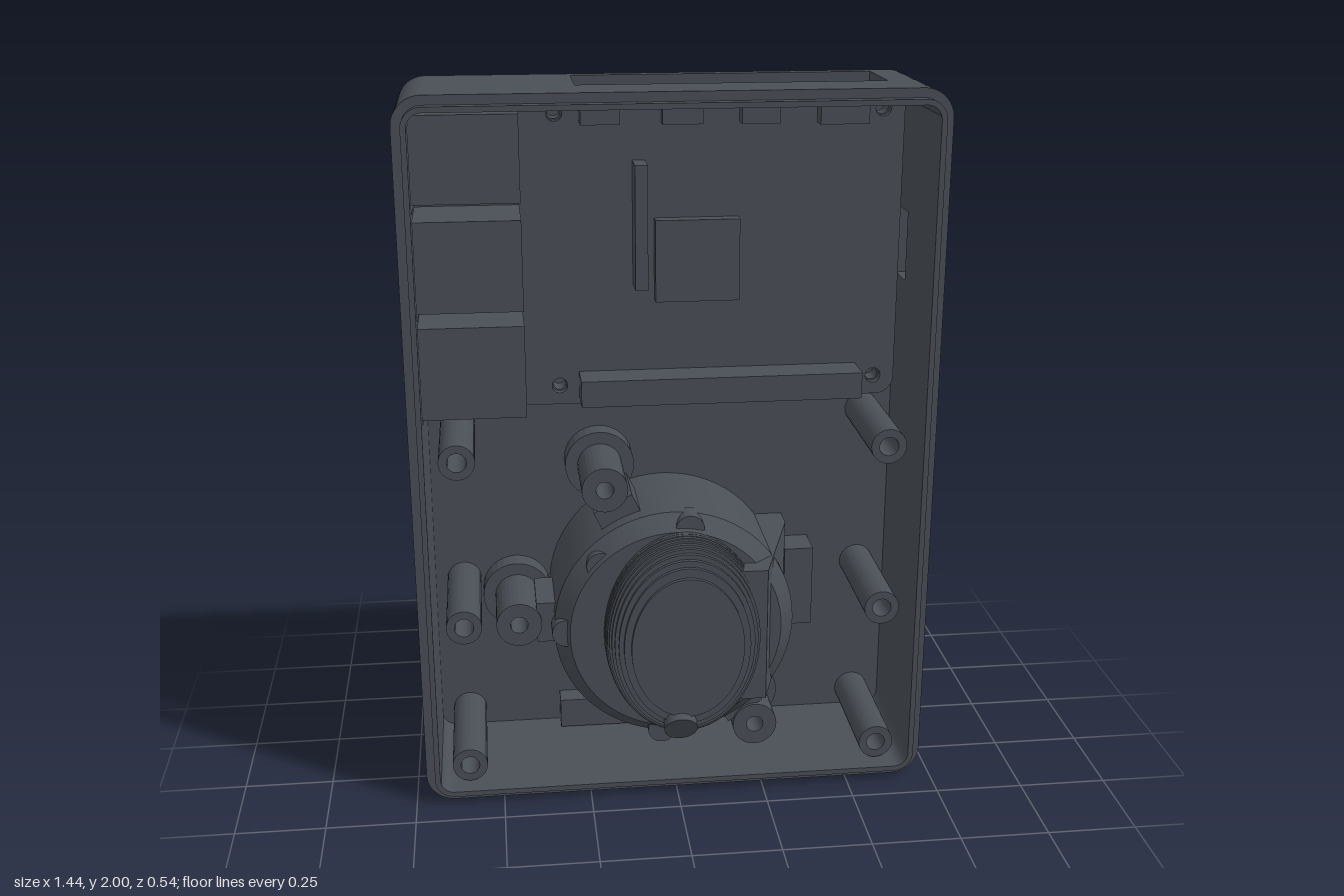
import * as THREE from 'three';

const BACK = -0.27, FLOOR = -0.235, RIM = 0.135, WALL = 0.04, R = 0.08, PCB = -0.155;
const mat = new THREE.MeshStandardMaterial({ color: 0x4a4f56 });

export function createModel() {
  const root = new THREE.Group();
  const add = (name, geo, parent = root) => {
    const m = new THREE.Mesh(geo, mat);
    m.name = name;
    parent.add(m);
    return m;
  };
  // Box given by its limits on each axis
  const box = (name, x0, x1, y0, y1, z0, z1) =>
    add(name, new THREE.BoxGeometry(x1 - x0, y1 - y0, z1 - z0)
      .translate((x0 + x1) / 2, (y0 + y1) / 2, (z0 + z1) / 2));
  const rect = (P, x0, x1, y0, y1) => {
    const s = new P();
    s.moveTo(x0, y0); s.lineTo(x1, y0); s.lineTo(x1, y1); s.lineTo(x0, y1); s.closePath();
    return s;
  };
  const rounded = (P, x0, x1, y0, y1, r) => {
    const s = new P();
    s.moveTo(x0 + r, y0);
    s.absarc(x1 - r, y0 + r, r, -Math.PI / 2, 0);
    s.absarc(x1 - r, y1 - r, r, 0, Math.PI / 2);
    s.absarc(x0 + r, y1 - r, r, Math.PI / 2, Math.PI);
    s.absarc(x0 + r, y0 + r, r, Math.PI, Math.PI * 1.5);
    s.closePath();
    return s;
  };
  const circle = (P, x, y, r) => {
    const s = new P();
    s.absarc(x, y, r, 0, Math.PI * 2);
    return s;
  };
  const slab = (name, shape, z0, z1) =>
    add(name, new THREE.ExtrudeGeometry(shape, { depth: z1 - z0, bevelEnabled: false, curveSegments: 16 })
      .translate(0, 0, z0));
  const tube = (name, x, y, r, hole, z0, z1) => {
    const s = circle(THREE.Shape, x, y, r);
    if (hole) s.holes.push(circle(THREE.Path, x, y, hole));
    return slab(name, s, z0, z1);
  };

  // Case: back plate, four walls with port cut-outs, rounded corners and front lip
  slab('backPlate', rounded(THREE.Shape, -0.72, 0.72, 0, 2, R), BACK, FLOOR);
  const X = new THREE.Vector3(1, 0, 0), Y = new THREE.Vector3(0, 1, 0), Z = new THREE.Vector3(0, 0, 1);
  const wall = (name, u, depthDir, u0, u1, pos, cuts) => {
    const s = rect(THREE.Shape, u0, u1, FLOOR, RIM);
    for (const c of cuts) s.holes.push(rect(THREE.Path, ...c));
    const g = new THREE.ExtrudeGeometry(s, { depth: WALL, bevelEnabled: false });
    g.applyMatrix4(new THREE.Matrix4().makeBasis(u, Z, depthDir).setPosition(...pos));
    add(name, g);
  };
  const down = Y.clone().negate();
  wall('topWall', X, down, -0.64, 0.64, [0, 2, 0], [[-0.25, 0.58, -0.234, -0.025]]);
  wall('bottomWall', X, down, -0.64, 0.64, [0, WALL, 0], [[-0.3, 0.25, -0.234, -0.185]]);
  wall('leftWall', Y, X, R, 2 - R, [0.72 - WALL, 0, 0], [[1.43, 1.625, -0.234, -0.13]]);
  wall('rightWall', Y, X, R, 2 - R, [-0.72, 0, 0],
    [[1.69, 1.915, -0.234, 0.09], [1.405, 1.675, -0.234, 0.09], [1.115, 1.39, -0.234, 0.09]]);
  [[0.64, 1.92], [-0.64, 1.92], [-0.64, R], [0.64, R]].forEach(([x, y], i) => {
    const a = i * Math.PI / 2, s = new THREE.Shape();
    s.absarc(x, y, R, a, a + Math.PI / 2);
    s.absarc(x, y, R - WALL, a + Math.PI / 2, a, true);
    s.closePath();
    slab('caseCorner', s, FLOOR, RIM);
  });
  const lip = rounded(THREE.Shape, -0.695, 0.695, 0.025, 1.975, 0.055);
  lip.holes.push(rounded(THREE.Path, -0.68, 0.68, 0.04, 1.96, 0.04));
  slab('frontLip', lip, RIM, 0.167);

  // Hollow screw posts
  for (const x of [-0.595, 0.595])
    for (const y of [0.095, 0.53, 1.02]) tube('screwPost', x, y, 0.05, 0.027, FLOOR, 0.115);

  // Circuit board with its mounting holes
  const board = rounded(THREE.Shape, -0.67, 0.665, 1.09, 1.96, 0.05);
  for (const x of [-0.3, 0.605])
    for (const y of [1.145, 1.91]) {
      board.holes.push(circle(THREE.Path, x, y, 0.022));
      tube('boardStandoff', x, y, 0.04, 0.018, FLOOR, -0.178);
    }
  slab('circuitBoard', board, -0.178, PCB);
  box('largePort', -0.69, -0.4, 1.71, 1.94, PCB, 0.06);
  box('largePort', -0.69, -0.4, 1.42, 1.665, PCB, 0.06);
  box('largePort', -0.69, -0.4, 1.125, 1.38, PCB, 0.06);
  box('audioPort', -0.235, -0.13, 1.89, 1.97, PCB, -0.06);
  box('smallPort', -0.01, 0.1, 1.88, 1.97, PCB, -0.115);
  box('smallPort', 0.205, 0.31, 1.88, 1.97, PCB, -0.107);
  box('powerPort', 0.42, 0.555, 1.875, 1.97, PCB, -0.104);
  box('ribbonConnector', -0.09, -0.055, 1.435, 1.78, PCB, -0.07);
  box('processor', -0.03, 0.205, 1.39, 1.62, PCB, -0.115);
  box('pinHeader', -0.245, 0.55, 1.11, 1.185, PCB, -0.05);
  box('memoryCard', 0.475, 0.665, 1.45, 1.6, -0.2, -0.178);

  // Round cup and stepped dome
  const profile = pts => pts.map(p => new THREE.Vector2(...p));
  const lathe = (name, pts) => add(name,
    new THREE.LatheGeometry(profile(pts), 64).rotateX(Math.PI / 2).translate(0, 0.497, 0));
  lathe('cup', [[0, FLOOR], [0.342, FLOOR], [0.342, FLOOR], [0.342, 0.08], [0.342, 0.08], [0.3, 0.13], [0.3, 0.13], [0, 0.13]]);
  const steps = [[0.3, 0.1]], n = 10;
  for (let i = 0; i < n; i++) {
    const r = t => 0.14 + 0.16 * Math.sqrt(1 - t * t), z = 0.13 + 0.12 * (i + 1) / n;
    steps.push([r(i / n), z], [r(i / n), z], [r((i + 1) / n), z], [r((i + 1) / n), z]);
  }
  steps.push([0, 0.25]);
  const dome = lathe('steppedDome', steps);
  dome.scale.x = 0.75;
  dome.position.x = 0.02;

  // Bearing pins around the cup rim
  for (const [x, y] of [[0.04, 0.8], [-0.21, 0.7], [-0.31, 0.5], [-0.04, 0.18]])
    tube('bearingPin', x, y, 0.04, 0, 0.05, 0.12);

  // Tilted peg at the lower front of the dome
  const peg = add('peg', new THREE.CylinderGeometry(0.047, 0.047, 0.22, 24));
  peg.position.set(0, 0.3, 0.15);
  peg.quaternion.setFromUnitVectors(Y, new THREE.Vector3(0, -0.47, 0.88).normalize());

  // Cup mounts: wide foot, narrower post and an arm towards the cup
  for (const [x, y] of [[-0.19, 0.895], [-0.44, 0.495], [0.245, 0.135]]) {
    tube('mountFoot', x, y, 0.1, 0.025, FLOOR, -0.17);
    tube('mountPost', x, y, 0.065, 0.025, -0.17, 0.04);
    const dx = -x, dy = 0.497 - y, len = Math.hypot(dx, dy);
    const arm = add('mountArm', new THREE.BoxGeometry(0.12, 0.12, 0.18));
    arm.position.set(x + dx / len * 0.11, y + dy / len * 0.11, -0.06);
    arm.rotation.z = Math.atan2(dy, dx);
  }

  // Sensor bracket: sloping prism and a small block beside the cup
  const side = new THREE.Shape();
  side.moveTo(0.1, FLOOR); side.lineTo(0.36, FLOOR); side.lineTo(0.36, -0.16);
  side.lineTo(0.25, 0.187); side.lineTo(0.1, 0.187); side.closePath();
  add('sensorBracket', new THREE.ExtrudeGeometry(side, { depth: 0.395, bevelEnabled: false })
    .rotateX(Math.PI / 2).applyMatrix4(new THREE.Matrix4().makeTranslation(0, 0.695, 0)));
  box('sensorBlock', 0.355, 0.44, 0.375, 0.62, FLOOR, -0.13);

  // Small power module above the bottom slot
  box('moduleSocket', -0.32, -0.12, 0.045, 0.135, FLOOR, -0.17);
  box('moduleBoard', -0.12, 0.145, 0.04, 0.09, FLOOR, -0.2);
  box('moduleTab', 0.115, 0.16, 0.115, 0.15, FLOOR, -0.18);
  return root;
}
